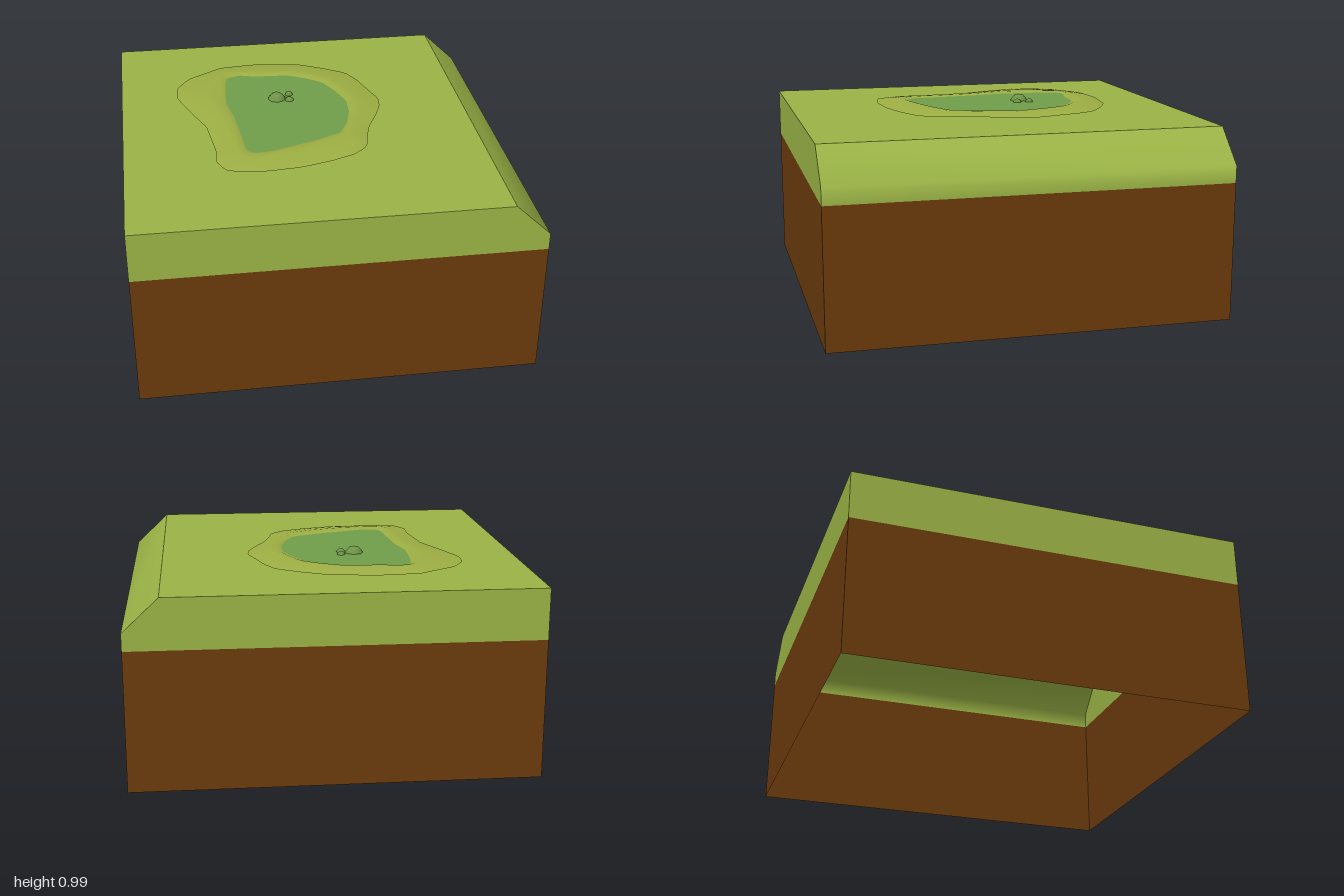
import * as THREE from 'three';

const mat = (name, color) => {
  const m = new THREE.MeshStandardMaterial({ color, side: THREE.DoubleSide });
  m.name = name;
  return m;
};

// Surface through rings of equal length; each ring is a list of [x, y, z]
function loft(rings, closed) {
  const n = rings[0].length, index = [];
  for (let r = 0; r < rings.length - 1; r++) {
    for (let i = 0; i < (closed ? n : n - 1); i++) {
      const a = r * n + i, b = r * n + (i + 1) % n;
      index.push(a, b, b + n, a, b + n, a + n);
    }
  }
  const g = new THREE.BufferGeometry();
  g.setAttribute('position', new THREE.Float32BufferAttribute(rings.flat(2), 3));
  g.setIndex(index);
  g.computeVertexNormals();
  return g;
}

// Distance from the pond centre to a closed outline along an angle
const CX = -0.15, CZ = -0.1;
function reach(outline, angle) {
  const dx = Math.cos(angle), dz = Math.sin(angle);
  for (let i = 0; i < outline.length; i++) {
    const [ax, az] = outline[i], [bx, bz] = outline[(i + 1) % outline.length];
    const px = ax - CX, pz = az - CZ, ex = bx - ax, ez = bz - az;
    const d = dx * ez - dz * ex;
    if (Math.abs(d) < 1e-9) continue;
    const t = (px * ez - pz * ex) / d, s = (px * dz - pz * dx) / d;
    if (t > 0 && s >= -1e-6 && s <= 1 + 1e-6) return t;
  }
  return 0.4;
}

const BANK = [
  [-0.435, -0.685], [-0.245, -0.705], [0, -0.675], [0.135, -0.605], [0.255, -0.525],
  [0.305, -0.425], [0.345, -0.29], [0.38, -0.185], [0.37, -0.09], [0.335, 0],
  [0.275, 0.13], [0.245, 0.24], [0.225, 0.345], [0.15, 0.415], [0.03, 0.465],
  [-0.13, 0.51], [-0.31, 0.525], [-0.485, 0.5], [-0.535, 0.415], [-0.53, 0.29],
  [-0.56, 0.025], [-0.635, -0.16], [-0.695, -0.33], [-0.69, -0.45], [-0.625, -0.56],
];
const SHORE = [
  [-0.415, -0.525], [-0.34, -0.55], [-0.26, -0.525], [-0.075, -0.515], [0.02, -0.465],
  [0.105, -0.4], [0.16, -0.28], [0.2, -0.16], [0.195, -0.035], [0.165, 0.09],
  [0.115, 0.195], [-0.02, 0.26], [-0.26, 0.345], [-0.34, 0.35], [-0.38, 0.325],
  [-0.39, 0.185], [-0.41, -0.055], [-0.44, -0.21], [-0.43, -0.4],
];

export function createModel() {
  const model = new THREE.Group();
  const grass = mat('grass green', 0x9bb446);
  const soil = mat('soil brown', 0x6b3b0c);
  const bankGreen = mat('bank olive', 0x9dae43);
  const water = mat('pond green', 0x709e4b);
  const stone = mat('mossy stone', 0x6f9446);

  const add = (name, geometry, material) => {
    const m = new THREE.Mesh(geometry, material);
    m.name = name;
    model.add(m);
    return m;
  };

  const W = 0.99, D = 1, SOIL = 0.69, TOP = 0.94, EDGE = 0.815, LIP = 0.775;
  // Strip running along z through a list of [x, y] points
  const strip = (pts) => loft([D, -D].map((z) => pts.map(([x, y]) => [x, y, z])), false);

  // Soil walls, open below
  add('soilLeft', strip([[W, SOIL], [W, 0]]), soil);
  add('soilRight', strip([[-W, 0], [-W, SOIL]]), soil);
  // Turf: flat top, straight right side, sloped left edge blending into its side
  add('turfTop', strip([[-W, TOP], [EDGE, TOP]]), grass);
  add('turfRight', strip([[-W, SOIL], [-W, TOP]]), grass);
  add('turfSlope', strip([[EDGE, TOP], [W, LIP], [W, SOIL]]), grass);

  // Front and back walls
  const wall = (pts, z) => {
    const g = new THREE.ShapeGeometry(new THREE.Shape(pts.map(([x, y]) => new THREE.Vector2(x, y))));
    if (z < 0) g.rotateY(Math.PI).scale(1, 1, 1);
    return g.translate(0, 0, z);
  };
  for (const [name, z] of [['Front', D], ['Back', -D]]) {
    const s = Math.sign(z); // the back wall is turned round, so its profile is mirrored first
    const face = (pts) => wall(pts.map(([x, y]) => [x * s, y]), z);
    add('soil' + name, face([[-W, 0], [W, 0], [W, SOIL], [-W, SOIL]]), soil);
    add('turf' + name, face([[-W, SOIL], [W, SOIL], [W, LIP], [EDGE, TOP], [-W, TOP]]), grass);
  }

  // Pond bank: low raised ring that dips under the water
  const N = 96;
  const ring = (t, y) => Array.from({ length: N }, (_, i) => {
    const a = -(i / N) * Math.PI * 2;
    const r = THREE.MathUtils.lerp(reach(BANK, a), reach(SHORE, a), t);
    return [CX + Math.cos(a) * r, y, CZ + Math.sin(a) * r];
  });
  add('pondBank', loft([
    ring(0, 0.947), ring(0.3, 0.956), ring(0.65, 0.964), ring(0.85, 0.964),
    ring(1, 0.957), ring(1.1, 0.95),
  ], true), bankGreen);

  // Water surface
  const centre = Array.from({ length: N }, () => [CX, 0.957, CZ]);
  add('pondWater', loft([ring(1, 0.957), centre], true), water);

  // Mossy stones in the water
  [[-0.165, -0.235, 0.05, 0.943], [-0.1, -0.21, 0.025, 0.951], [-0.095, -0.275, 0.021, 0.955]]
    .forEach(([x, z, r, y], i) => {
      add('stone' + (i + 1), new THREE.SphereGeometry(r, 8, 6), stone).position.set(x, y, z);
    });

  return model;
}
